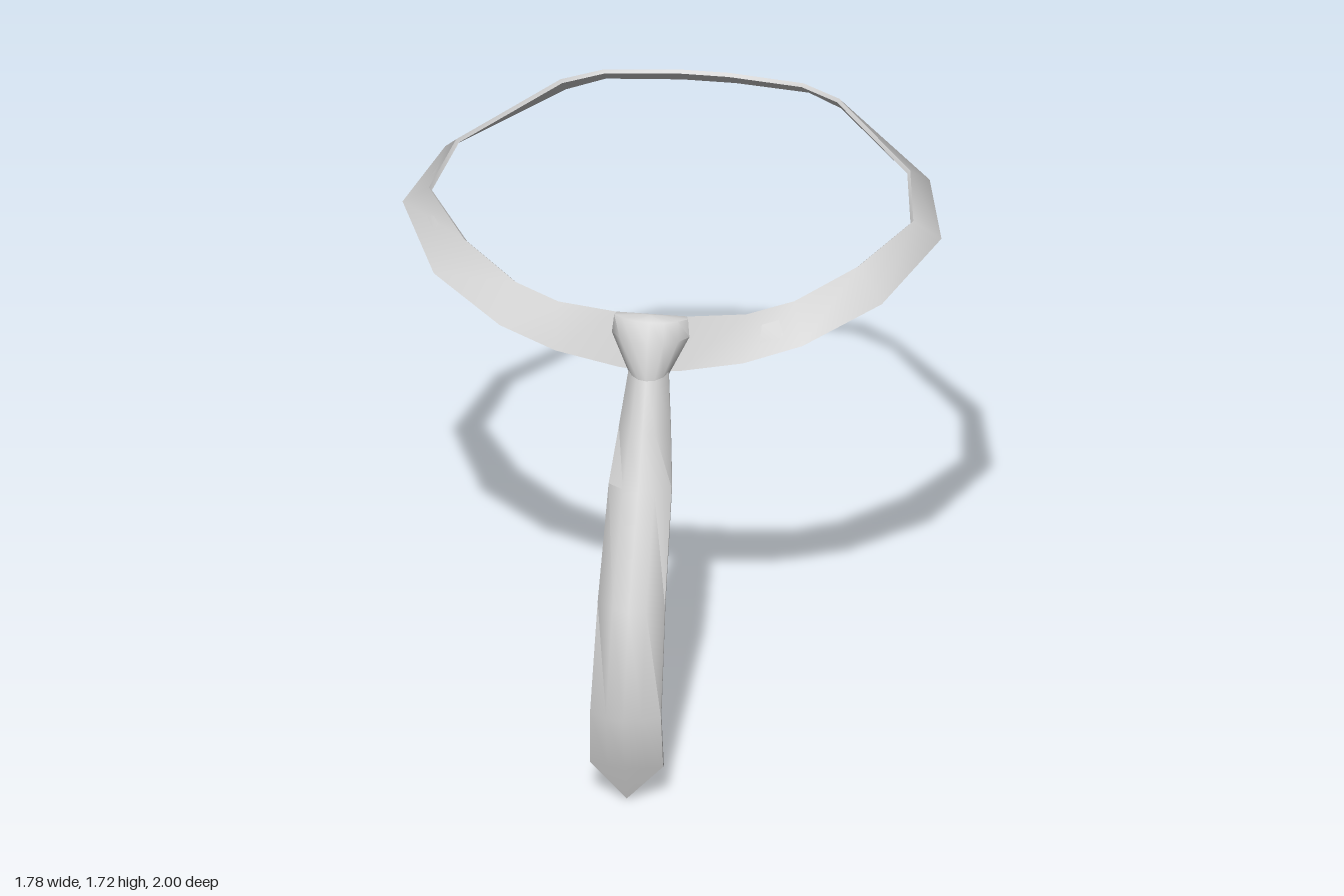
import * as THREE from 'three';
import { toCreasedNormals } from 'three/addons/utils/BufferGeometryUtils.js';

// Skin a series of closed cross-sections; loop joins the last one to the first
function loft(sections, loop = false) {
  const n = sections[0].length, index = [];
  const rows = sections.length;
  for (let i = 0; i < (loop ? rows : rows - 1); i++) {
    const p = i * n, q = ((i + 1) % rows) * n;
    for (let j = 0; j < n; j++) {
      const k = (j + 1) % n;
      index.push(p + j, q + j, q + k, p + j, q + k, p + k);
    }
  }
  const geometry = new THREE.BufferGeometry();
  geometry.setAttribute('position', new THREE.Float32BufferAttribute(sections.flat(2), 3));
  geometry.setIndex(index);
  return toCreasedNormals(geometry, 1.0);
}

// Neckband: thin sloping strip, outer lower edge and inner upper edge
function neckband() {
  // outer x, y, z, inner x, y, z, from front centre to back centre
  const half = [
    [0, 1.31, 0.40, 0, 1.48, 0.335],
    [0.10, 1.32, 0.40, 0.12, 1.49, 0.335],
    [0.31, 1.365, 0.40, 0.31, 1.51, 0.33],
    [0.50, 1.42, 0.355, 0.46, 1.535, 0.265],
    [0.74, 1.51, 0.20, 0.65, 1.60, 0.12],
    [0.89, 1.585, -0.13, 0.80, 1.655, -0.11],
    [0.80, 1.60, -0.49, 0.75, 1.685, -0.39],
    [0.46, 1.64, -0.87, 0.46, 1.72, -0.775],
    [0.34, 1.64, -0.96, 0.33, 1.72, -0.86],
    [0.09, 1.635, -1.0, 0.08, 1.72, -0.895],
  ];
  const mirrored = half.slice(1).reverse().map(([a, b, c, d, e, f]) => [-a, b, c, -d, e, f]);
  const t = 0.01;
  return loft([...half, ...mirrored].map(([a, b, c, d, e, f]) => {
    const r = Math.hypot(a, c + 0.3);
    const dx = -t * a / r, dz = -t * (c + 0.3) / r;
    return [[a, b, c], [d, e, f], [d + dx, e - t, f + dz], [a + dx, b - t * 0.5, c + dz]];
  }), true);
}

// Blade: thin strip bowed forward along its centre line
function blade() {
  const t = 0.015, steps = [-1, -0.5, 0, 0.5, 1];
  const rows = [ // y, half width, centre z, edge z
    [1.36, 0.06, 0.445, 0.385],
    [1.32, 0.066, 0.47, 0.405],
    [1.16, 0.085, 0.565, 0.49],
    [1.0, 0.104, 0.657, 0.595],
    [0.67, 0.111, 0.875, 0.80],
    [0.33, 0.117, 1.0, 0.935],
    [0.13, 0.121, 0.95, 0.91],
    [0, 0, 0.922, 0.907],
  ];
  return loft(rows.map(([y, w, zc, ze]) => {
    const point = (s, back) => [w * s, y, ze + t + (zc - ze - t) * (1 - s * s) - back];
    return [...steps.map((s) => point(s, 0)), ...steps.map((s) => point(-s, t))];
  }));
}

// Knot: solid wedge, widest near the top, rounded at the front
function knot() {
  const steps = [-1, -0.75, -0.4, 0, 0.4, 0.75, 1];
  const rows = [ // y, half width, front z, edge z, back z
    [1.507, 0, 0.37, 0.37, 0.37],
    [1.49, 0.122, 0.395, 0.355, 0.335],
    [1.43, 0.128, 0.445, 0.365, 0.34],
    [1.315, 0.068, 0.475, 0.41, 0.395],
    [1.325, 0, 0.44, 0.44, 0.44],
  ];
  return loft(rows.map(([y, w, zf, ze, zb]) => [
    ...steps.map((s) => [w * s, y, ze + (zf - ze) * (1 - Math.abs(s) ** 2.4)]),
    [w * 0.95, y, zb], [-w * 0.95, y, zb],
  ]));
}

export function createModel() {
  const group = new THREE.Group();
  group.name = 'necktie';
  const material = new THREE.MeshStandardMaterial({ color: 0xcccccc, side: THREE.DoubleSide });
  const parts = { neckband: neckband(), blade: blade(), knot: knot() };
  for (const [name, geometry] of Object.entries(parts)) {
    const mesh = new THREE.Mesh(geometry, material);
    mesh.name = name;
    group.add(mesh);
  }
  return group;
}
